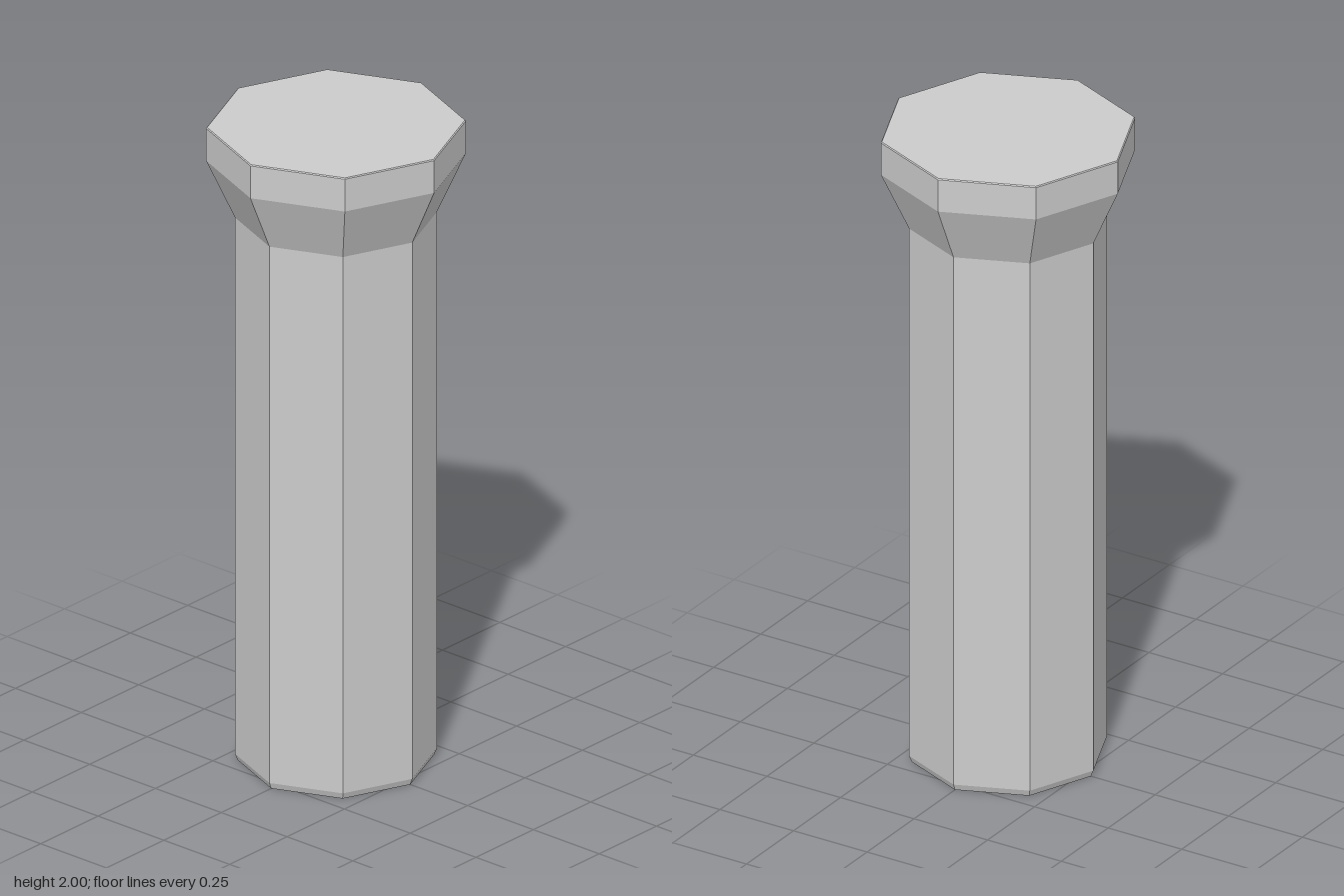
import * as THREE from 'three';

const SIDES = 8;
const material = new THREE.MeshStandardMaterial({ color: 0xcccccc, flatShading: true });

// Eight-sided turned part from [radius, height] pairs, listed bottom to top
function turned(name, profile) {
  const points = profile.map(([r, y]) => new THREE.Vector2(r, y));
  const mesh = new THREE.Mesh(new THREE.LatheGeometry(points, SIDES), material);
  mesh.name = name;
  return mesh;
}

export function createModel() {
  const group = new THREE.Group();
  group.name = 'octagonalPin';

  // Straight shaft with a slightly chamfered foot
  group.add(turned('shaft', [[0, 0], [0.282, 0], [0.29, 0.02], [0.29, 1.713]]));

  // Flared collar and flat-topped head
  group.add(turned('head', [[0.29, 1.713], [0.373, 1.895], [0.373, 1.997], [0.37, 2], [0, 2]]));

  return group;
}
